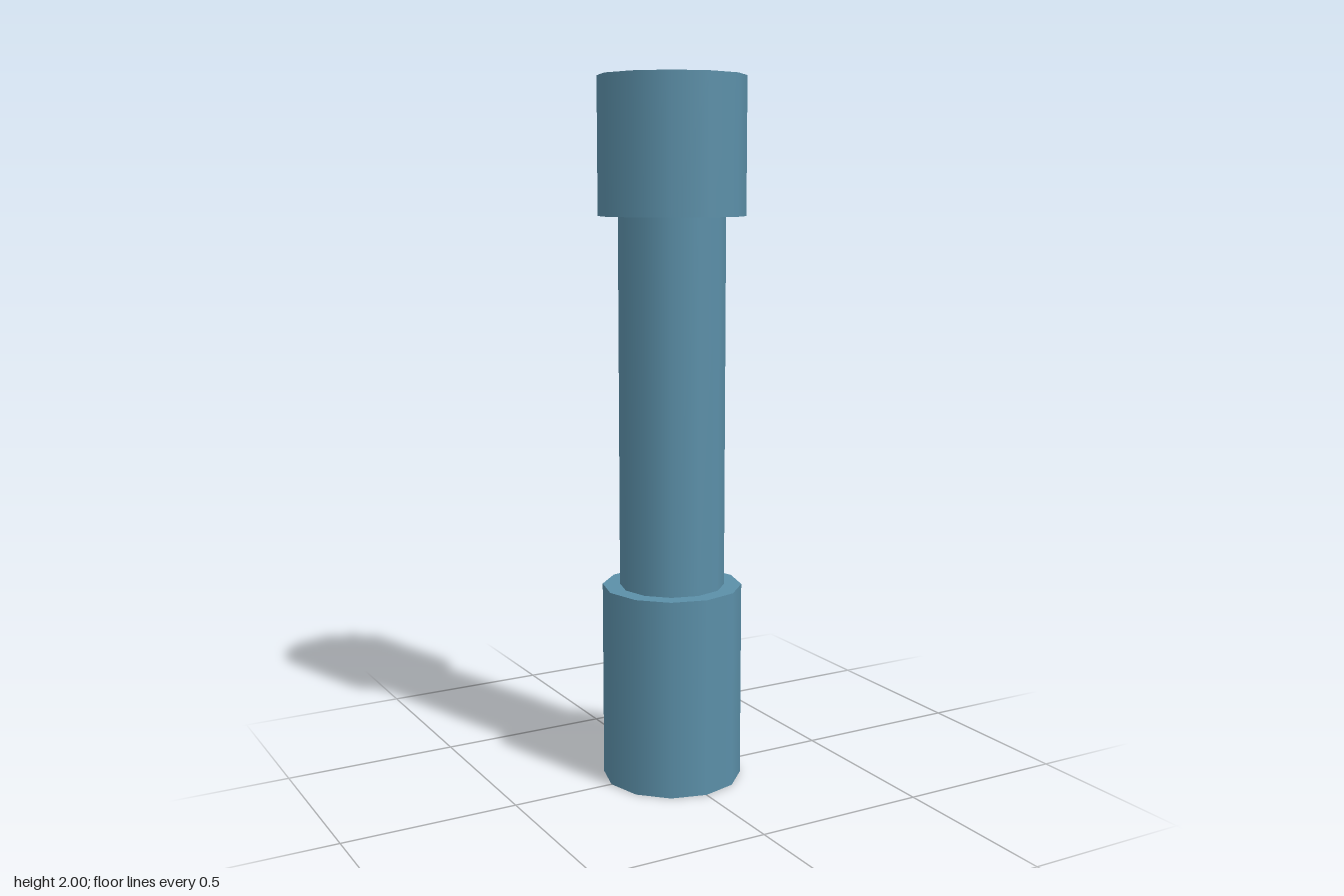
import * as THREE from 'three';

const SIDES = 12;

export function createModel() {
  const group = new THREE.Group();
  const material = new THREE.MeshStandardMaterial({ color: 0x5b8fa8, side: THREE.DoubleSide });

  const add = (name, geometry) => {
    const mesh = new THREE.Mesh(geometry, material);
    mesh.name = name;
    group.add(mesh);
  };

  // Open twelve-sided wall between two heights
  const wall = (name, radius, bottom, top) =>
    add(name, new THREE.CylinderGeometry(radius, radius, top - bottom, SIDES, 1, true)
      .translate(0, (top + bottom) / 2, 0));

  // Flat step between two radii, facing up (1) or down (-1)
  const step = (name, inner, outer, y, facing) =>
    add(name, new THREE.RingGeometry(inner, outer, SIDES)
      .rotateX(-facing * Math.PI / 2).translate(0, y, 0));

  // Lower sleeve, open underneath
  wall('baseWall', 0.2, 0, 0.57);
  step('baseShoulder', 0.15, 0.2, 0.57, 1);

  // Slim shaft
  wall('shaft', 0.15, 0.57, 1.62);

  // Upper head with a closed top
  step('headUnderside', 0.15, 0.206, 1.62, -1);
  wall('headWall', 0.206, 1.62, 2);
  add('headTop', new THREE.CircleGeometry(0.206, SIDES)
    .rotateX(-Math.PI / 2).translate(0, 2, 0));

  return group;
}
